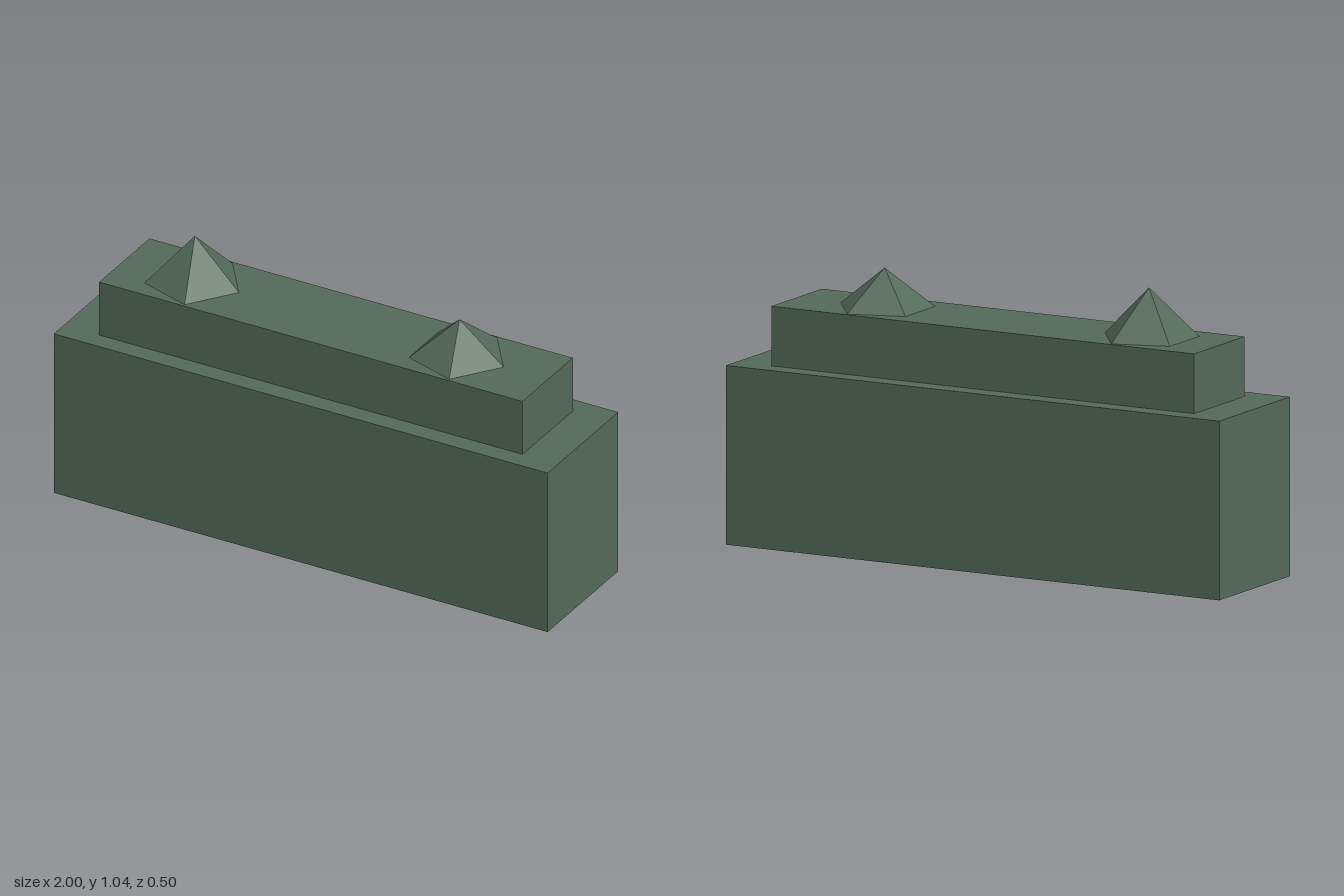
import * as THREE from 'three';

export function createModel() {
  const model = new THREE.Group();
  model.name = 'steppedBlock';
  const green = new THREE.MeshStandardMaterial({ color: 0x556b5b, flatShading: true });
  green.name = 'dull green';
  const U = 1 / 28; // all sizes are whole multiples of this unit

  const add = (name, geometry, x, y) => {
    const mesh = new THREE.Mesh(geometry, green);
    mesh.name = name;
    mesh.position.set(x * U, y * U, 0);
    model.add(mesh);
  };

  // Two stacked blocks
  add('lowerBlock', new THREE.BoxGeometry(56 * U, 18 * U, 14 * U), 0, 9);
  add('upperBlock', new THREE.BoxGeometry(48 * U, 6 * U, 10 * U), 0, 21);

  // Five-sided peaks, one corner pointing to +x
  for (const [name, x, height] of [['rightPeak', -16, 5], ['leftPeak', 14, 4]]) {
    const cone = new THREE.ConeGeometry(5 * U, height * U, 5).rotateY(Math.PI / 2);
    add(name, cone, x, 24 + height / 2);
  }
  return model;
}
